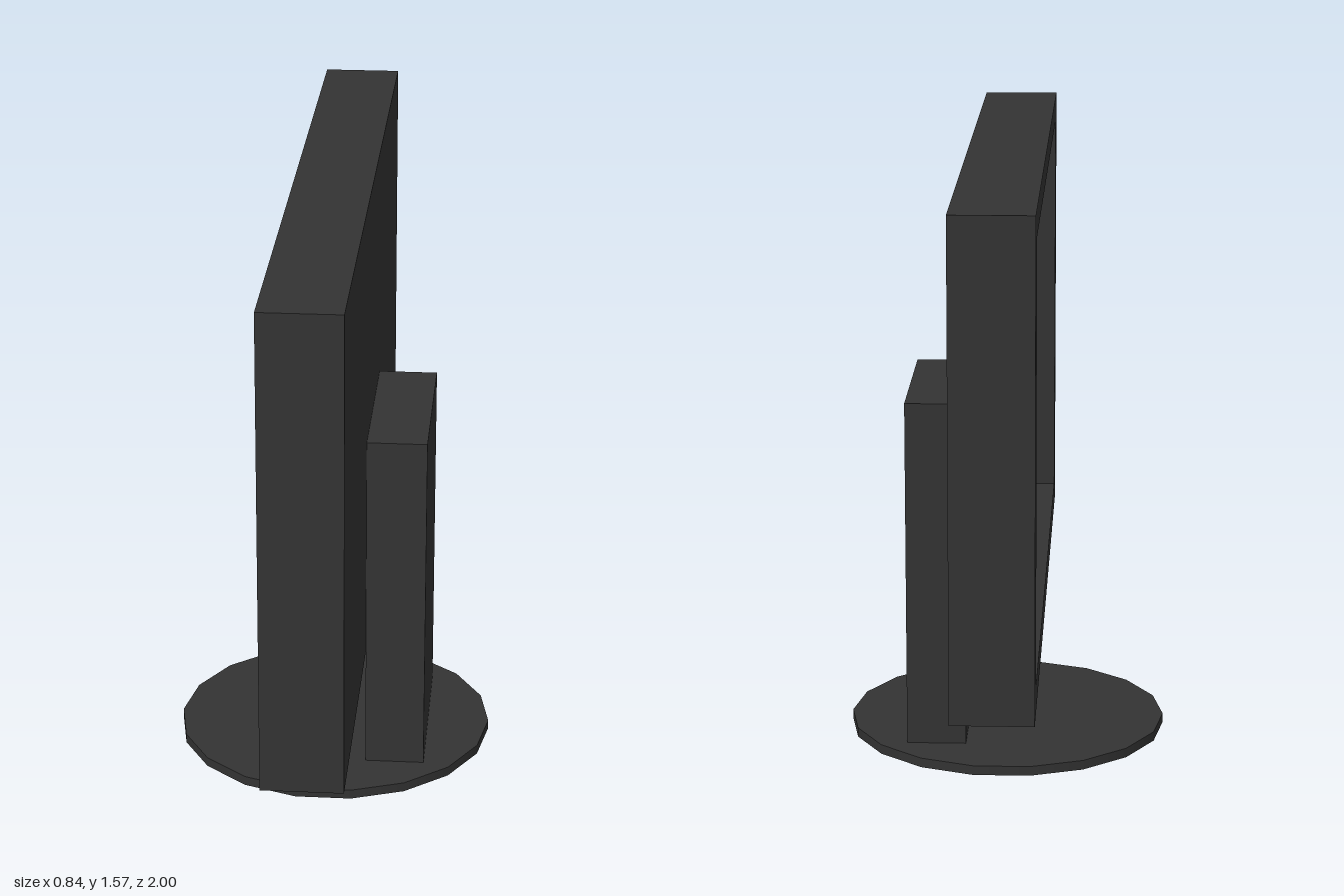
import * as THREE from 'three';

const DARK = new THREE.MeshStandardMaterial({ color: 0x333333 });
const BLACK = new THREE.MeshStandardMaterial({ color: 0x1f1f1f });

// Counter-clockwise rectangle, w by h, centred on the origin
function rectangle(PathType, w, h) {
  return new PathType([[-1, -1], [1, -1], [1, 1], [-1, 1]]
    .map(([x, y]) => new THREE.Vector2(x * w / 2, y * h / 2)));
}

export function createModel() {
  const model = new THREE.Group();
  model.name = 'monitor';

  function add(name, geometry, material, x, y, z = 0) {
    const mesh = new THREE.Mesh(geometry, material);
    mesh.name = name;
    mesh.position.set(x, y, z);
    model.add(mesh);
    return mesh;
  }

  const width = 2, height = 1.22, midY = 0.96;
  const front = -0.103, back = 0.1, recess = 0.07;
  const openW = width - 0.18, openH = height - 0.13;
  const panelX = front + recess;

  // Housing behind the screen, which faces -x
  add('housing', new THREE.BoxGeometry(back - panelX, height, width), DARK, (back + panelX) / 2, midY);

  // Bezel frame around the recessed screen
  const frame = rectangle(THREE.Shape, width, height);
  frame.holes.push(rectangle(THREE.Path, openW, openH));
  const bezel = new THREE.ExtrudeGeometry(frame, { depth: recess, bevelEnabled: false });
  bezel.rotateY(-Math.PI / 2);
  add('bezel', bezel, DARK, panelX, midY);

  // Screen
  const screen = new THREE.PlaneGeometry(openW, openH).rotateY(-Math.PI / 2);
  add('screen', screen, BLACK, panelX - 0.002, midY);

  // Upright stand against the back of the housing
  const baseH = 0.025, standTop = 0.945;
  add('stand', new THREE.BoxGeometry(0.155, standTop - baseH, 0.5), DARK, back + 0.0775, (standTop + baseH) / 2);

  // Round foot with 18 sides, corners on the x axis
  const base = new THREE.CylinderGeometry(0.42, 0.42, baseH, 18).rotateY(Math.PI / 2);
  add('base', base, DARK, 0, baseH / 2);

  return model;
}
